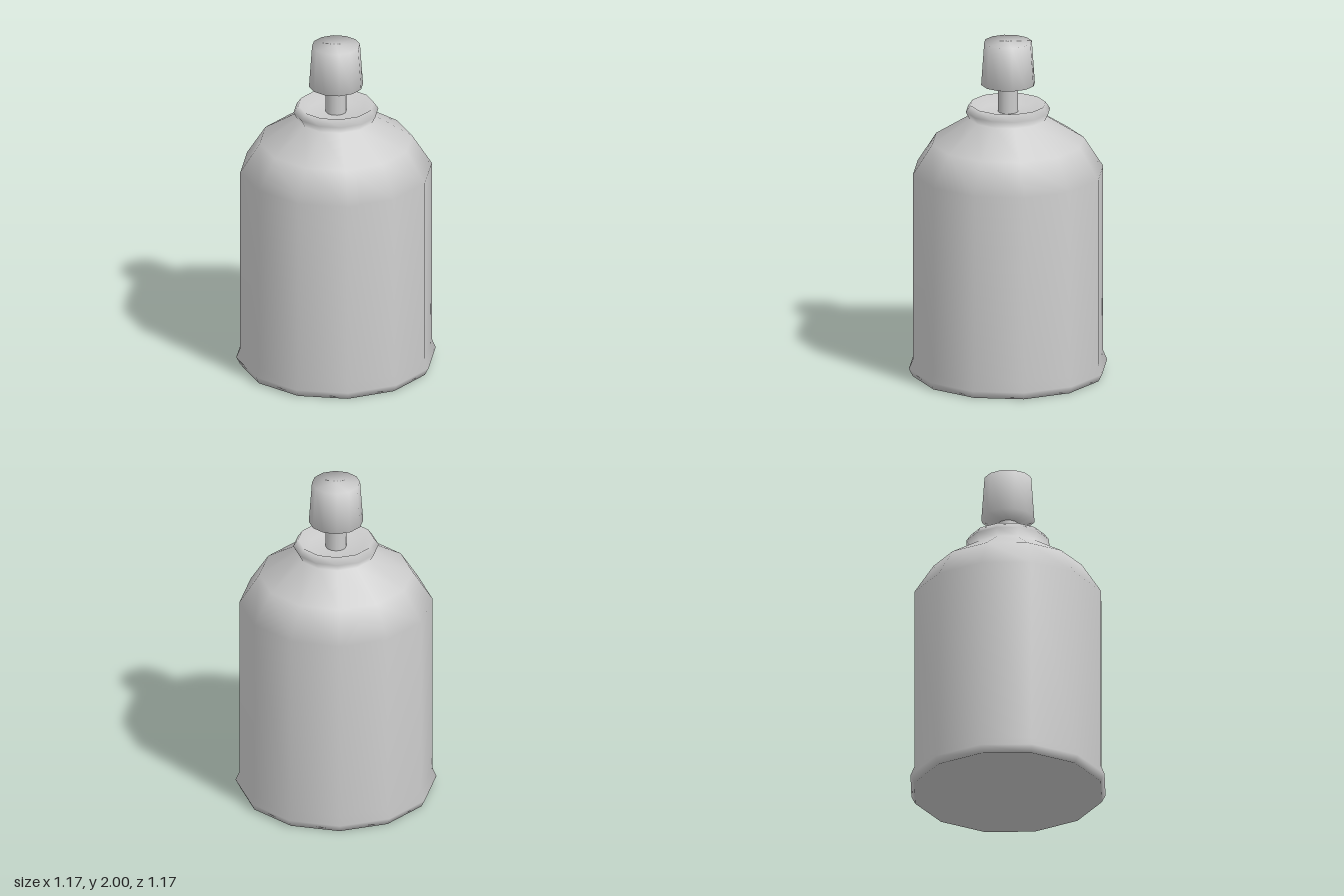
import * as THREE from 'three';

const SIDES = 12;

// Smooth-shaded, twelve-sided turned part; profile runs from bottom to top as [radius, y]
function turned(name, profile, material) {
  const points = profile.map(([r, y]) => new THREE.Vector2(r, y));
  const mesh = new THREE.Mesh(new THREE.LatheGeometry(points, SIDES), material);
  mesh.name = name;
  return mesh;
}

export function createModel() {
  const group = new THREE.Group();
  group.name = 'sprayCan';
  const grey = new THREE.MeshStandardMaterial({ color: 0xcccccc });

  // Can: recessed base, flared foot, straight wall, sloped shoulder, collar and dished top
  group.add(turned('canBody', [
    [0, 0.04], [0.46, 0.04], [0.56, 0], [0.583, 0.045], [0.56, 0.1],
    [0.56, 1.22], [0.445, 1.4], [0.225, 1.54],
    [0.248, 1.585], [0.22, 1.625], [0.16, 1.58], [0, 1.58],
  ], grey));

  // Valve stem rising from the dish into the nozzle
  group.add(turned('valveStem', [[0.06, 1.57], [0.06, 1.73]], grey));

  // Tapered push-button nozzle with a conical underside
  group.add(turned('nozzle', [
    [0, 1.715], [0.06, 1.715], [0.158, 1.745], [0.14, 2], [0, 2],
  ], grey));

  return group;
}
